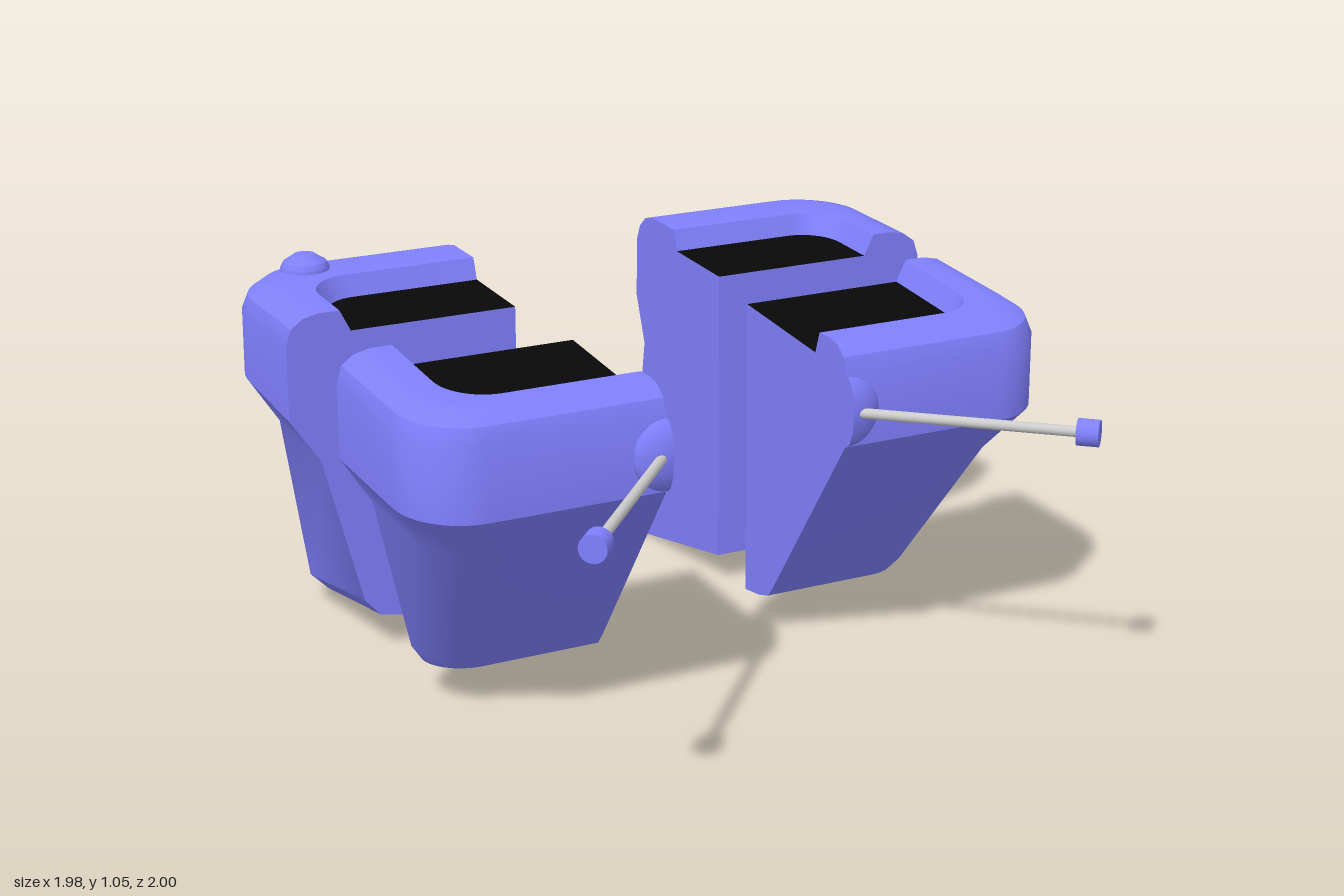
import * as THREE from 'three';
import { toCreasedNormals } from 'three/addons/utils/BufferGeometryUtils.js';

const violet = new THREE.MeshStandardMaterial({ color: 0x8080ff });
const black = new THREE.MeshStandardMaterial({ color: 0x080808 });
const grey = new THREE.MeshStandardMaterial({ color: 0xcccccc });

// Rings from bottom to recess: [x reach, z reach, y at the cut, y at the far end, corner radius]
const frontRings = [
  [0.40, 0.08, 0.095, 0.105, 0.08], [0.46, 0.13, 0.115, 0.12, 0.12], [0.49, 0.155, 0.16, 0.15, 0.14],
  [0.585, 0.445, 0.585, 0.56, 0.17], [0.67, 0.53, 0.715, 0.68, 0.18], [0.67, 0.53, 0.92, 0.88, 0.18],
  [0.655, 0.515, 0.965, 0.925, 0.175], [0.62, 0.485, 0.99, 0.95, 0.165], [0.575, 0.445, 1.0, 0.96, 0.15],
  [0.515, 0.39, 1.0, 0.96, 0.13], [0.485, 0.37, 0.94, 0.90, 0.11],
];
const backRings = [
  [0.33, 0.47, 0.09, 0.005, 0.1], [0.43, 0.53, 0.11, 0.03, 0.14], [0.475, 0.555, 0.16, 0.07, 0.16],
  [0.585, 0.465, 0.585, 0.62, 0.18], [0.67, 0.515, 0.71, 0.76, 0.21], [0.67, 0.51, 0.92, 0.935, 0.21],
  [0.655, 0.49, 0.965, 0.98, 0.2], [0.62, 0.455, 0.99, 1.01, 0.18], [0.575, 0.41, 1.0, 1.02, 0.16],
  [0.515, 0.275, 1.0, 1.015, 0.13], [0.485, 0.255, 0.94, 0.955, 0.11],
];

const N = 12;
const ringPoints = ([dx, dz, yc, yo, r]) => {
  const flat = [[dx, 0]];
  for (let i = 0; i <= N; i++) {
    const a = (i / N) * Math.PI / 2;
    flat.push([dx - r + r * Math.cos(a), dz - r + r * Math.sin(a)]);
  }
  flat.push([0, dz]);
  return flat.map(([x, z]) => new THREE.Vector3(x, yc + (yo - yc) * z / dz, z));
};

// Triangles given for the +x +z quarter, mirrored by signs
function toGeometry(tris, sx, sz) {
  const pos = [];
  for (const [a, b, c] of tris) {
    for (const p of sx * sz > 0 ? [a, b, c] : [a, c, b]) pos.push(p.x * sx, p.y, p.z * sz);
  }
  const g = new THREE.BufferGeometry();
  g.setAttribute('position', new THREE.Float32BufferAttribute(pos, 3));
  return toCreasedNormals(g, 0.5);
}

function add(parent, name, geometry, material, x = 0, y = 0, z = 0) {
  const m = new THREE.Mesh(geometry, material);
  m.name = name;
  m.position.set(x, y, z);
  parent.add(m);
  return m;
}

function quarter(name, spec, sx, sz, x, z) {
  const g = new THREE.Group();
  g.name = name;
  g.position.set(x, 0, z);
  const rings = spec.map(ringPoints);
  const last = rings.length - 1, first = spec[0], top = spec[last];
  const bottomMid = new THREE.Vector3(0, first[2], 0), topMid = new THREE.Vector3(0, top[2], 0);
  const skin = [], floor = [];
  // outer skin and lip
  for (let i = 0; i < last; i++) {
    for (let j = 0; j < rings[i].length - 1; j++) {
      const a = rings[i][j], b = rings[i][j + 1], c = rings[i + 1][j], d = rings[i + 1][j + 1];
      skin.push([a, c, b], [b, c, d]);
    }
  }
  // underside and recessed top
  for (let j = 0; j < rings[0].length - 1; j++) {
    skin.push([bottomMid, rings[0][j], rings[0][j + 1]]);
    floor.push([topMid, rings[last][j + 1], rings[last][j]]);
  }
  // the two flat cut faces
  const cut = (pts, flat, flip) => {
    for (const [a, b, c] of THREE.ShapeUtils.triangulateShape(pts.map(flat), [])) {
      skin.push(flip ? [pts[a], pts[c], pts[b]] : [pts[a], pts[b], pts[c]]);
    }
  };
  cut([...rings.map(r => r[r.length - 1]), topMid, bottomMid], p => new THREE.Vector2(p.z, p.y), false);
  cut([...rings.map(r => r[0]), topMid, bottomMid], p => new THREE.Vector2(p.x, p.y), true);
  add(g, 'shell', toGeometry(skin, sx, sz), violet);
  add(g, 'recessedTop', toGeometry(floor, sx, sz), black);
  return g;
}

const lathe = (pts, start = 0, len = Math.PI * 2) =>
  toCreasedNormals(new THREE.LatheGeometry(pts.map(p => new THREE.Vector2(...p)), 32, start, len), 0.5);

// Half-round boss on the front with a slanting rod and tip
function rodAssembly(side, x, z, end) {
  const g = new THREE.Group();
  g.name = side > 0 ? 'leftRod' : 'rightRod';
  const prof = [[0.095, -0.02], [0.095, 0.01], [0.085, 0.022], [0.05, 0.038], [0, 0.04]];
  const boss = add(g, 'boss', lathe(prof, side > 0 ? 0 : Math.PI, Math.PI), violet, x, 0.78, z);
  boss.rotation.x = Math.PI / 2;
  const outline = [...prof, ...prof.slice(0, -1).reverse().map(([a, b]) => [-a, b])];
  const cutFace = add(g, 'bossCut', new THREE.ShapeGeometry(new THREE.Shape(outline.map(p => new THREE.Vector2(...p)))),
    violet.clone(), x, 0.78, z);
  cutFace.material.side = THREE.DoubleSide;
  // profile lies in the y-z plane
  cutFace.quaternion.setFromRotationMatrix(new THREE.Matrix4().makeBasis(
    new THREE.Vector3(0, 1, 0), new THREE.Vector3(0, 0, 1), new THREE.Vector3(1, 0, 0)));
  const from = new THREE.Vector3(x + side * 0.02, 0.78, z + 0.02), to = new THREE.Vector3(...end);
  const dir = to.clone().sub(from);
  const turn = new THREE.Quaternion().setFromUnitVectors(new THREE.Vector3(0, 1, 0), dir.clone().normalize());
  const mid = from.clone().lerp(to, 0.5);
  add(g, 'rod', new THREE.CylinderGeometry(0.014, 0.014, dir.length(), 16), grey, mid.x, mid.y, mid.z).quaternion.copy(turn);
  add(g, 'rodTip', new THREE.CylinderGeometry(0.036, 0.036, 0.058, 20), violet, to.x, to.y, to.z).quaternion.copy(turn);
  return g;
}

export function createModel() {
  const model = new THREE.Group();
  model.name = 'splitTub';
  model.add(
    quarter('frontLeftQuarter', frontRings, 1, 1, 0.25, -0.15),
    quarter('frontRightQuarter', frontRings, -1, 1, -0.325, -0.07),
    quarter('backLeftQuarter', backRings, 1, -1, 0.318, -0.435),
    quarter('backRightQuarter', backRings, -1, -1, -0.325, -0.43),
    rodAssembly(1, 0.25, 0.38, [0.71, 0.78, 0.825]),
    rodAssembly(-1, -0.325, 0.46, [-0.77, 0.78, 0.955]),
  );
  // button on the back right rim
  add(model, 'topButton', lathe([[0.068, 0.98], [0.068, 1.025], [0.06, 1.04], [0.036, 1.055], [0.03, 1.06], [0, 1.06]]),
    violet, -0.79, 0, -0.81);
  // round knobs on the back
  for (const [name, x] of [['rightKnob', -0.80], ['leftKnob', 0.74]]) {
    const knob = add(model, name, lathe([[0, 0], [0.055, 0], [0.066, 0.012], [0.066, 0.04], [0.055, 0.052], [0.05, 0.06], [0, 0.06]]),
      grey, x, 0.857, -0.94);
    knob.rotation.x = -Math.PI / 2;
  }
  return model;
}
